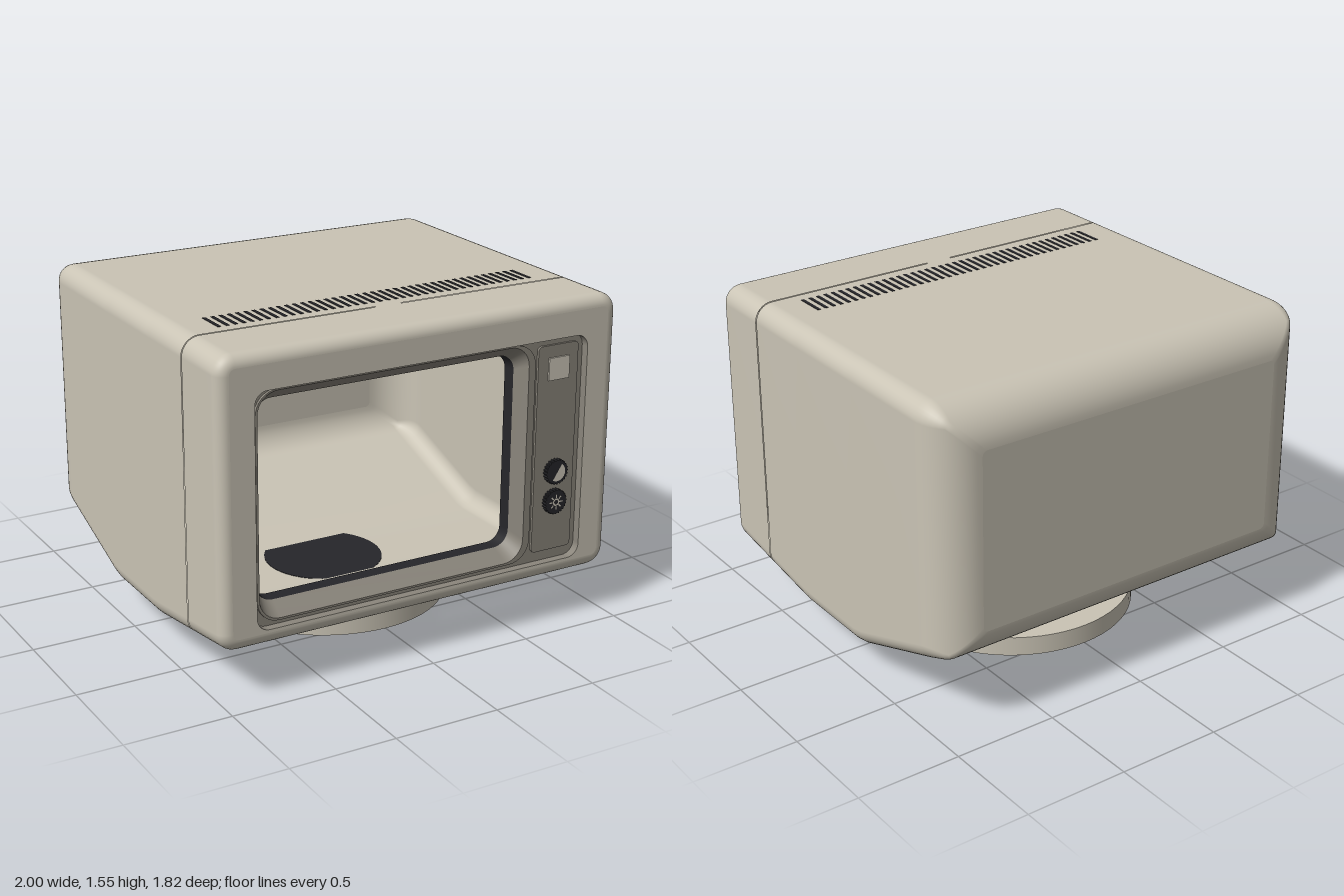
import * as THREE from 'three';

const mat = (name, color, side = THREE.DoubleSide) =>
  Object.assign(new THREE.MeshStandardMaterial({ color, side }), { name });

// Rounded rectangle outline, counter-clockwise, starting at the bottom right corner
function roundRect(x0, x1, y0, y1, r, n = 8) {
  const pts = [];
  const corners = [[x1 - r, y0 + r], [x1 - r, y1 - r], [x0 + r, y1 - r], [x0 + r, y0 + r]];
  corners.forEach(([cx, cy], c) => {
    for (let i = 0; i <= n; i++) {
      const a = (c - 1 + i / n) * Math.PI / 2;
      pts.push(new THREE.Vector2(cx + r * Math.cos(a), cy + r * Math.sin(a)));
    }
  });
  return pts;
}

// Skin between outlines ordered front to back; skip(i, j) leaves a quad open
function loft(rings, skip = () => false) {
  const n = rings[0].pts.length, pos = [], idx = [];
  rings.forEach(({ pts, z }) => pts.forEach(p => pos.push(p.x, p.y, z)));
  for (let i = 0; i < rings.length - 1; i++) {
    for (let j = 0; j < n; j++) {
      if (skip(i, j, n)) continue;
      const k = (j + 1) % n, a = i * n + j, b = i * n + k, d = a + n, c = b + n;
      idx.push(a, d, b, b, d, c);
    }
  }
  const g = new THREE.BufferGeometry();
  g.setAttribute('position', new THREE.Float32BufferAttribute(pos, 3));
  g.setIndex(idx);
  g.computeVertexNormals();
  return g;
}

function plate(pts, hole, z, depth = 0) {
  const s = new THREE.Shape(pts);
  if (hole) s.holes.push(new THREE.Path(hole));
  const g = depth ? new THREE.ExtrudeGeometry(s, { depth, bevelEnabled: false }) : new THREE.ShapeGeometry(s);
  return g.translate(0, 0, z);
}

// Height of the underside along the depth of the case
function underside(z) {
  if (z > 0.25) return 0.145 + (z - 0.25) * 0.145;
  if (z > -0.2) return 0.145;
  const y = 0.145 + (-0.2 - z) * 0.355;
  const t = Math.min(1, Math.max(0, (-0.82 - z) / 0.09));
  return y + 0.1 * (1 - Math.sqrt(1 - t * t));
}

// Outline of the case at depth z
function section(z) {
  const arc = (d, r) => d <= 0 ? 0 : r - Math.sqrt(Math.max(0, r * r - d * d));
  const back = arc(-0.71 - z, 0.2), front = arc(z - 0.855, 0.055);
  const inset = back + front;
  const r = Math.max(0.025, 0.085 - inset);
  return { pts: roundRect(-1 + inset, 1 - inset, underside(z) + front, 1.55 - inset, r), z };
}

export function createModel() {
  const model = new THREE.Group();
  const beige = mat('beige plastic', 0xcac4b5);
  const taupe = mat('taupe bezel', 0x8b867c);
  const black = mat('black plastic', 0x26262a);
  const pale = mat('pale marking', 0xd0cabc);
  const add = (name, geo, material, x = 0, y = 0, z = 0, parent = model) => {
    const m = new THREE.Mesh(geo, material);
    m.name = name;
    m.position.set(x, y, z);
    parent.add(m);
    return m;
  };
  const arcSteps = [...Array(13).keys()].map(i => Math.sin(i / 12 * Math.PI / 2));

  // Rear shell, hollow, with its back wall
  const backZ = [0.58, 0.4, 0.27, 0.22, 0, -0.17, -0.23, -0.5, ...arcSteps.map(s => -0.71 - 0.2 * s)];
  add('rearShell', loft(backZ.map(section)), beige);
  add('backWall', plate(section(-0.91).pts, null, -0.91), beige);

  // Front shell with an open slot along the underside next to the seam
  const frontZ = [...arcSteps.map(s => 0.855 + 0.055 * s).reverse(), 0.65, 0.586];
  const last = frontZ.length - 2;
  add('frontShell', loft(frontZ.map(section), (i, j, n) => i === last && j === n - 1), beige);
  const recess = roundRect(-0.83, 0.84, 0.31, 1.38, 0.06);
  add('frontFace', plate(section(0.91).pts, recess, 0.91), beige);
  add('recessWall', loft([{ pts: recess, z: 0.91 }, { pts: recess, z: 0.87 }]), taupe);

  // Bezel floor, raised screen frame and the funnel into the open case
  const lip = roundRect(-0.805, 0.545, 0.34, 1.365, 0.1);
  const throat = roundRect(-0.78, 0.512, 0.396, 1.31, 0.075);
  const opening = roundRect(-0.775, 0.507, 0.4, 1.3, 0.07);
  add('bezelFloor', plate(recess, lip, 0.87), taupe);
  add('screenFrame', plate(roundRect(-0.815, 0.58, 0.33, 1.37, 0.105), lip, 0.87, 0.013), taupe);
  add('screenFunnel', loft([{ pts: lip, z: 0.883 }, { pts: throat, z: 0.81 }]), taupe);
  add('screenGasket', loft([{ pts: throat, z: 0.81 }, { pts: opening, z: 0.75 }]), black);

  // Control panel with badge plate
  add('controlPanel', plate(roundRect(0.595, 0.81, 0.36, 1.345, 0.02), null, 0.87, 0.012), taupe);
  add('blankBadge', new THREE.BoxGeometry(0.11, 0.105, 0.008), pale, 0.705, 1.235, 0.886);

  // Knurled knobs
  const teeth = [...Array(96).keys()].map(i => {
    const a = i / 96 * Math.PI * 2, r = i % 4 < 2 ? 0.06 : 0.055;
    return new THREE.Vector2(r * Math.cos(a), r * Math.sin(a));
  });
  const knob = (name, y) => {
    const g = new THREE.Group();
    g.name = name;
    g.position.set(0.705, y, 0.882);
    model.add(g);
    add('knobBody', plate(teeth, null, 0, 0.025), black, 0, 0, 0, g);
    return g;
  };
  const contrast = knob('contrastKnob', 0.745);
  add('halfDisc', new THREE.CircleGeometry(0.043, 24, -2.15, Math.PI), pale, 0, 0, 0.027, contrast);
  const bright = knob('brightnessKnob', 0.6);
  add('sunRing', new THREE.RingGeometry(0.011, 0.018, 24), pale, 0, 0, 0.027, bright);
  for (let i = 0; i < 8; i++) {
    const a = i * Math.PI / 4;
    const ray = add('sunRay', new THREE.PlaneGeometry(0.016, 0.006), pale,
      0.028 * Math.cos(a), 0.028 * Math.sin(a), 0.027, bright);
    ray.rotation.z = a;
  }

  // Vent slots on top and the latch at the seam
  for (let i = 0; i < 41; i++) {
    add('ventSlot', new THREE.BoxGeometry(0.016, 0.004, 0.15), black, -0.79 + i * 0.0395, 1.55, 0.445);
  }
  add('seamLatch', new THREE.BoxGeometry(0.13, 0.006, 0.012), beige, 0, 1.546, 0.583);

  // Cable hole and flap under the rear
  const hole = add('cableHole', new THREE.CircleGeometry(0.06, 24), pale, 0.1, underside(-0.45) - 0.004, -0.45);
  hole.rotation.x = Math.PI / 2 + 0.34;
  const flap = add('cableFlap', new THREE.BoxGeometry(0.14, 0.008, 0.2), beige, 0, 0.148, -0.23);
  flap.rotation.x = 0.17;

  // Swivel foot with a hollow underside
  const profile = [[0, 0.04], [0.38, 0.04], [0.38, 0], [0.59, 0], [0.59, 0.095], [0, 0.095]];
  const foot = profile.slice(1).map((p, i) => [profile[i], p]);
  foot.forEach(seg => add('swivelFoot',
    new THREE.LatheGeometry(seg.map(p => new THREE.Vector2(...p)), 64), beige));
  add('swivelPlate', new THREE.BoxGeometry(0.89, 0.036, 0.575), black, 0, 0.113, 0);
  add('swivelNeck', new THREE.CylinderGeometry(0.285, 0.285, 0.018, 48), black, 0, 0.138, 0);

  return model;
}
